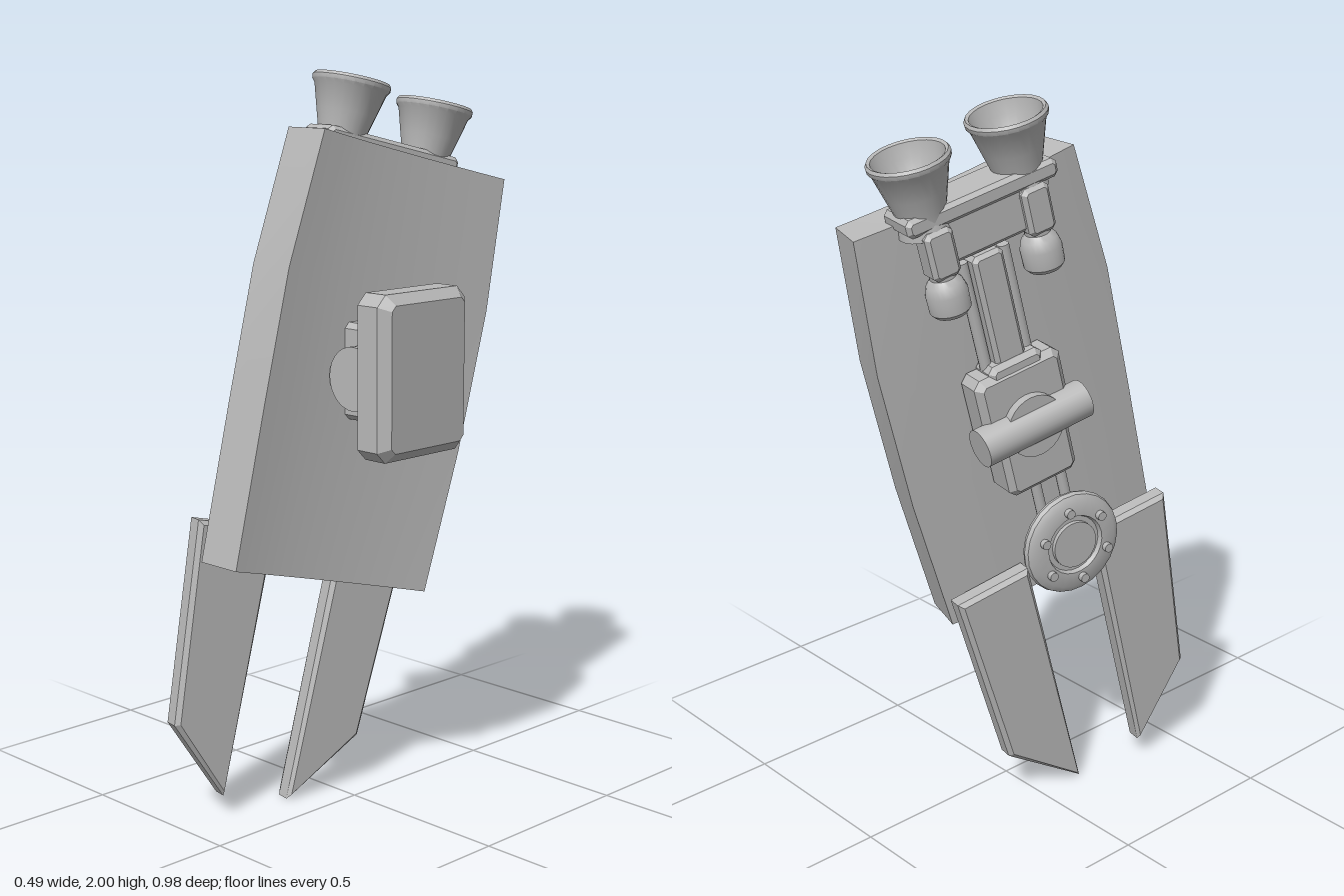
import * as THREE from 'three';
import { toCreasedNormals } from 'three/addons/utils/BufferGeometryUtils.js';

const grey = new THREE.MeshStandardMaterial({ color: 0xb8b8b8 });
grey.name = 'light grey';
const V = (x, y, z) => new THREE.Vector3(x, y, z);

// Tilted frame shared by the plate fittings: N points out, U up along the plate, Z to the front edge
const U = V(0.035, 0.97, -0.235).normalize();
const Z = V(-0.18, 0.23, 0.956).normalize();
const N = U.clone().cross(Z).normalize();
Z.crossVectors(N, U);
const Q = new THREE.Quaternion().setFromRotationMatrix(new THREE.Matrix4().makeBasis(N, U, Z));

function add(parent, name, geo, pos = V(0, 0, 0), tilted = true) {
  const m = new THREE.Mesh(geo, grey);
  m.name = name;
  m.position.copy(pos);
  if (tilted) m.quaternion.copy(Q);
  parent.add(m);
  return m;
}
// Move a point inside the tilted frame
const shift = (p, n, u, z) => p.clone().addScaledVector(N, n).addScaledVector(U, u).addScaledVector(Z, z);

// Prism with chamfered edges; outline in (z, y), depth along x, centred on x = 0
function bevelPrism(pts, depth, bevel) {
  const g = new THREE.ExtrudeGeometry(new THREE.Shape(pts), {
    depth: depth - 2 * bevel, bevelEnabled: true, bevelThickness: bevel,
    bevelSize: bevel, bevelOffset: -bevel, bevelSegments: 1,
  });
  g.translate(0, 0, bevel - depth / 2);
  return g.rotateY(-Math.PI / 2);
}
// Box with chamfered edges and cut corners
function bevelBox(dx, dy, dz, b) {
  const y = dy / 2, z = dz / 2;
  return bevelPrism([[z, b - y], [z, y - b], [z - b, y], [b - z, y], [-z, y - b], [-z, b - y], [b - z, -y], [z - b, -y]]
    .map(p => new THREE.Vector2(...p)), dx, b * 0.9);
}
const cylX = (r, l, n = 28, r2 = r) => new THREE.CylinderGeometry(r, r2, l, n).rotateZ(Math.PI / 2);
const cylZ = (r, l, n = 28) => new THREE.CylinderGeometry(r, r, l, n).rotateX(Math.PI / 2);

// Bowed plate lofted from rings running from top to bottom
function plateGeometry() {
  const front = [[0.138, 1.857], [0.255, 1.51], [0.334, 1.156], [0.424, 0.732]];
  const rear = [[-0.488, 1.703], [-0.435, 1.342], [-0.34, 0.96], [-0.223, 0.578]];
  const n = 8, rows = [];
  front.forEach((f, i) => {
    const inner = [], outer = [];
    const x0 = -0.105 - 0.04 * (1.857 - f[1]) / 1.125;
    for (let k = 0; k <= n; k++) {
      const u = k / n;
      const x = x0 + 0.112 * Math.pow(u, 1.6);
      const z = f[0] + (rear[i][0] - f[0]) * u, y = f[1] + (rear[i][1] - f[1]) * u;
      inner.push([x, y, z]);
      outer.push([x + 0.136 - 0.01 * u, y, z + 0.042 * u]);
    }
    rows.push([...inner, ...outer.reverse()]);
  });
  const ring = 2 * n + 2, idx = [];
  for (let i = 0; i < rows.length - 1; i++) for (let j = 0; j < ring; j++) {
    const a = i * ring + j, b = i * ring + (j + 1) % ring;
    idx.push(a, b, b + ring, a, b + ring, a + ring);
  }
  const last = (rows.length - 1) * ring;
  for (let k = 0; k < n; k++) {
    const a = k, b = k + 1, c = ring - 2 - k, d = ring - 1 - k;
    idx.push(a, d, c, a, c, b);
    idx.push(last + a, last + c, last + d, last + a, last + b, last + c);
  }
  const g = new THREE.BufferGeometry();
  g.setAttribute('position', new THREE.Float32BufferAttribute(rows.flat(2), 3));
  g.setIndex(idx);
  return toCreasedNormals(g, 0.5);
}

// Prong from its outline in world (z, y)
function prongGeometry(outline) {
  const inv = Q.clone().invert();
  const pts = outline.map(([z, y]) => {
    const x = -0.106 - (N.y * y + N.z * z) / N.x;
    return V(x, y, z).applyQuaternion(inv);
  });
  const g = bevelPrism(pts.map(p => new THREE.Vector2(p.z, p.y)), 0.062, 0.012);
  return g.translate(pts[0].x, 0, 0);
}

export function createModel() {
  const root = new THREE.Group();
  root.name = 'armPlateWithThrusters';

  add(root, 'bowedPlate', plateGeometry(), V(0, 0, 0), false);

  // Prongs
  add(root, 'frontProng', prongGeometry([[0.407, 0.84], [0.175, 0.785], [0.35, 0.058], [0.493, 0.287]]));
  add(root, 'rearProng', prongGeometry([[-0.03, 0.72], [-0.245, 0.665], [-0.085, 0.143], [0.15, 0.003]]));

  // Outer shoulder box and its joint
  add(root, 'outerBox', bevelBox(0.125, 0.44, 0.33, 0.03), V(0.174, 1.222, -0.037), false);
  add(root, 'jointBlock', bevelBox(0.1, 0.26, 0.235, 0.015), V(0.07, 1.22, -0.048), false);
  add(root, 'jointBackBlock', new THREE.BoxGeometry(0.05, 0.18, 0.06), V(0.095, 1.22, -0.17), false);
  add(root, 'jointPin', cylZ(0.085, 0.27), V(0.115, 1.215, -0.012), false);

  // Thruster mount on the top edge
  const mount = V(-0.075, 1.785, -0.18);
  add(root, 'thrusterMount', bevelBox(0.13, 0.05, 0.44, 0.012), mount);
  add(root, 'thrusterMountDrop', bevelBox(0.06, 0.15, 0.36, 0.012), shift(mount, -0.025, -0.06, 0));

  // Two thrusters, each with a nozzle, bracket and bottle
  const nozzle = [[0, 0], [0.062, 0], [0.066, 0.03], [0.08, 0.08], [0.098, 0.145], [0.106, 0.155], [0.107, 0.166],
    [0.102, 0.174], [0.094, 0.17], [0.085, 0.135], [0.06, 0.08], [0.036, 0.045], [0, 0.045]];
  const bottle = [[0, 0], [0.044, 0], [0.054, 0.012], [0.055, 0.06], [0.047, 0.085], [0.034, 0.1], [0.034, 0.2], [0, 0.2]];
  const lathe = pts => toCreasedNormals(
    new THREE.LatheGeometry(pts.map(p => new THREE.Vector2(...p)), 24), 0.6);
  for (const [side, rim] of [['front', V(-0.094, 1.975, -0.085)], ['rear', V(-0.045, 1.904, -0.357)]]) {
    const base = shift(rim, 0, -0.172, 0);
    add(root, side + 'Nozzle', lathe(nozzle), base);
    add(root, side + 'NozzleCollar', new THREE.CylinderGeometry(0.062, 0.07, 0.04, 24), shift(base, 0, -0.01, 0));
    add(root, side + 'Bottle', lathe(bottle), shift(base, -0.035, -0.245, 0));
    add(root, side + 'Bracket', bevelBox(0.07, 0.13, 0.08, 0.012), shift(base, -0.04, -0.075, 0));
  }

  // Central slide with side rods
  const slide = V(-0.11, 1.46, -0.13);
  add(root, 'slide', bevelBox(0.07, 0.38, 0.09, 0.012), slide);
  for (const s of [-1, 1])
    add(root, 'slideRod', new THREE.CylinderGeometry(0.016, 0.016, 0.36, 12), shift(slide, 0, 0, s * 0.062));

  // Grip housing with cross bar
  const grip = V(-0.125, 1.18, -0.06);
  add(root, 'gripHousing', bevelBox(0.1, 0.22, 0.26, 0.02), shift(grip, 0, 0.05, 0));
  add(root, 'gripLowerBlock', bevelBox(0.11, 0.22, 0.21, 0.018), shift(grip, -0.005, -0.085, 0));
  add(root, 'gripNeck', bevelBox(0.09, 0.12, 0.16, 0.015), shift(grip, 0, 0.12, 0));
  add(root, 'gripDisc', cylX(0.085, 0.06), shift(grip, -0.045, -0.01, 0));
  add(root, 'crossBar', cylZ(0.052, 0.32), shift(grip, -0.052, -0.01, 0));

  // Bolted wheel below the grip
  const wheel = V(-0.195, 0.795, 0.06);
  const rim = [[0, -0.022], [0.125, -0.022], [0.143, -0.012], [0.147, 0], [0.143, 0.012],
    [0.125, 0.024], [0.085, 0.024], [0.08, 0.012], [0, 0.012]];
  add(root, 'wheel', lathe(rim).rotateZ(Math.PI / 2), wheel);
  add(root, 'wheelCap', cylX(0.066, 0.02), shift(wheel, -0.014, 0, 0));
  add(root, 'wheelAxle', cylX(0.05, 0.13), shift(wheel, 0.07, 0, 0));
  for (let i = 0; i < 6; i++) {
    const a = (i + 0.5) * Math.PI / 3;
    add(root, 'wheelBolt', cylX(0.013, 0.024, 10), shift(wheel, -0.027, 0.104 * Math.sin(a), 0.104 * Math.cos(a)));
  }
  // Links between the wheel and the grip
  for (const s of [-1, 1])
    add(root, 'wheelLink', new THREE.CylinderGeometry(0.015, 0.015, 0.2, 12), shift(wheel, 0.05, 0.13, s * 0.04));

  return root;
}
